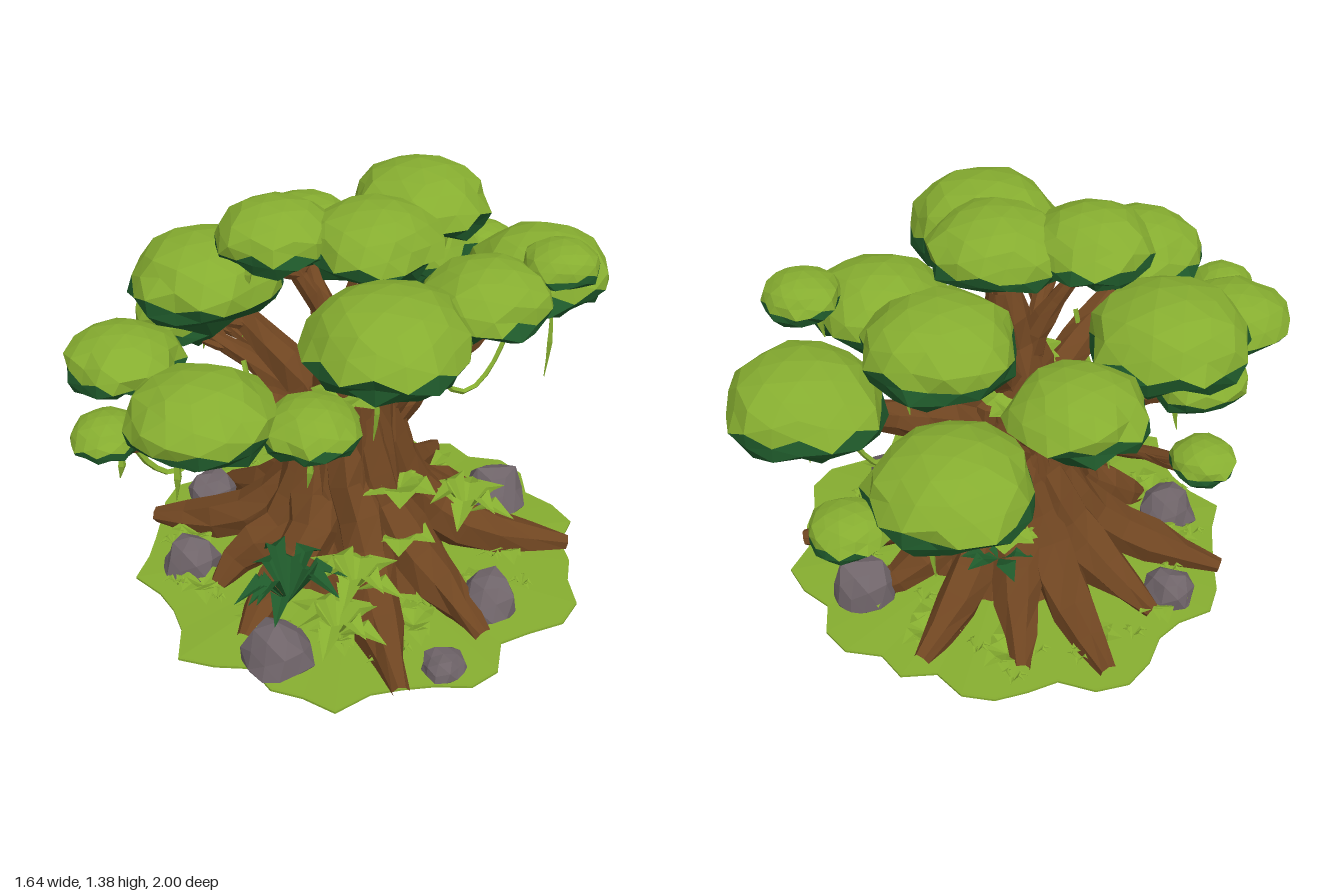
import * as THREE from 'three';
import { mergeGeometries } from 'three/addons/utils/BufferGeometryUtils.js';

const V = (x, y, z) => new THREE.Vector3(x, y, z);
const polar = (a, r, y) => V(Math.cos(a) * r, y, Math.sin(a) * r);
const mat = (name, color, side = THREE.FrontSide) => {
  const m = new THREE.MeshStandardMaterial({ color, side });
  m.name = name;
  return m;
};

// repeatable value in 0..1 from a position
const noise = (x, y, z) => {
  const s = Math.sin(x * 12.9 + y * 78.2 + z * 37.7) * 437.58;
  return s - Math.floor(s);
};

// separate the faces so every facet is flat
function facet(geo) {
  const g = geo.index ? geo.toNonIndexed() : geo;
  g.deleteAttribute('uv');
  g.computeVertexNormals();
  return g;
}

function warp(geo, rule) {
  const p = geo.attributes.position, v = V(0, 0, 0);
  for (let i = 0; i < p.count; i++) {
    rule(v.fromBufferAttribute(p, i), i);
    p.setXYZ(i, v.x, v.y, v.z);
  }
  return geo;
}

// tube that follows a path and narrows along a list of radii, with knobbly sides
function taperedTube(points, radii, sides, segs) {
  const curve = new THREE.CatmullRomCurve3(points);
  const geo = new THREE.TubeGeometry(curve, segs, 1, sides);
  warp(geo, (v, i) => {
    const ring = Math.floor(i / (sides + 1)), side = (i % (sides + 1)) % sides;
    const c = curve.getPointAt(ring / segs);
    const f = (ring / segs) * (radii.length - 1), k = Math.min(Math.floor(f), radii.length - 2);
    const r = THREE.MathUtils.lerp(radii[k], radii[k + 1], f - k);
    v.sub(c).multiplyScalar(r * (0.83 + 0.35 * noise(side, ring * 0.13, points[0].x))).add(c);
    v.y = Math.max(v.y, 0.008);
  });
  return facet(geo);
}

// squashed foliage dome: first group is the top, second the underside
function foliageGeometry(r, seed) {
  const geo = warp(new THREE.IcosahedronGeometry(1, 2), (v) => {
    const n = noise(v.x + seed, v.y, v.z) - 0.5;
    const spread = r * (1 + 0.17 * n);
    v.set(v.x * spread, v.y * r * (v.y > 0 ? 0.66 : 0.4 + 0.4 * n), v.z * spread);
  });
  const p = geo.attributes.position, top = [], under = [];
  for (let i = 0; i < p.count; i += 3) {
    const y = (p.getY(i) + p.getY(i + 1) + p.getY(i + 2)) / 3;
    const list = y > 0.06 * r ? top : under;
    for (let k = i; k < i + 3; k++) list.push(p.getX(k), p.getY(k), p.getZ(k));
  }
  const out = new THREE.BufferGeometry();
  out.setAttribute('position', new THREE.Float32BufferAttribute(top.concat(under), 3));
  out.addGroup(0, top.length / 3, 0);
  out.addGroup(top.length / 3, under.length / 3, 1);
  out.computeVertexNormals();
  return out;
}

// ring of arching pointed blades
function bladeFan(count, length, width, rise) {
  const pos = [];
  for (let i = 0; i < count; i++) {
    const a = (i / count) * Math.PI * 2 + noise(i, count, length), l = length * (0.75 + 0.5 * noise(i, 2, width));
    const up = rise * (0.7 + 0.5 * noise(i, 3, rise));
    const at = (d, y, s) => [Math.cos(a) * d - Math.sin(a) * s, y, Math.sin(a) * d + Math.cos(a) * s];
    const base = at(0, 0, 0), L = at(l / 2, up, width / 2), R = at(l / 2, up, -width / 2);
    const M = at(l / 2, up * 0.85, 0), tip = at(l, up * 0.5, 0);
    pos.push(...base, ...L, ...M, ...base, ...M, ...R, ...L, ...tip, ...M, ...M, ...tip, ...R);
  }
  const g = new THREE.BufferGeometry();
  g.setAttribute('position', new THREE.Float32BufferAttribute(pos, 3));
  g.computeVertexNormals();
  return g;
}

export function createModel() {
  const tree = new THREE.Group();
  const bark = mat('bark brown', 0x6f4521);
  const leaf = mat('leaf green', 0x86ad30);
  const shade = mat('deep green', 0x1f5a2b);
  const stone = mat('stone grey', 0x6f6469);
  const blade = mat('blade green', 0x86ad30, THREE.DoubleSide);
  const darkBlade = mat('dark blade green', 0x1f5a2b, THREE.DoubleSide);
  const add = (name, geo, material, x = 0, y = 0, z = 0) => {
    const m = new THREE.Mesh(geo, material);
    m.name = name;
    m.position.set(x, y, z);
    tree.add(m);
    return m;
  };

  // ragged grass base with a slight dome
  const ragged = (v) => {
    const n = Math.round((Math.atan2(v.z, v.x) / (Math.PI * 2) + 1) * 44) % 44;
    const k = 0.755 + 0.08 * (noise(n, 1, 3) - 0.5) + 0.03 * Math.sin(n * 1.43);
    v.x = v.x * k + 0.025;
    v.z *= k;
  };
  const slab = new THREE.CylinderGeometry(1, 1, 0.008, 44).translate(0, 0.004, 0);
  const dome = new THREE.ConeGeometry(1, 0.045, 44, 3, true).translate(0, 0.03, 0);
  add('grassBase', facet(warp(slab, ragged)), leaf);
  add('grassMound', facet(warp(dome, ragged)), leaf);

  // fluted trunk, flaring towards the ground, and the leader rising from it
  const profile = [];
  for (let y = 0; y < 0.75; y += 0.1) profile.push(new THREE.Vector2(0.15 + 0.2 * (1 - y / 0.75) ** 2, y));
  profile.push(new THREE.Vector2(0, 0.78));
  add('trunk', facet(warp(new THREE.LatheGeometry(profile, 28), (v) => {
    const k = 1 + 0.08 * Math.cos(9 * Math.atan2(v.z, v.x) + v.y * 4) + 0.1 * (noise(v.x, v.y, v.z) - 0.5);
    v.x *= k;
    v.z *= k;
  })), bark);
  add('leader', taperedTube([V(0, 0.4, 0.02), V(0, 0.7, 0.02), V(0.02, 0.9, 0), V(0.04, 1.1, -0.03)],
    [0.15, 0.14, 0.1, 0.05], 9, 7), bark);

  // buttress roots: degrees from +x towards +z, reach
  [[27, 0.78], [75, 0.62], [103, 0.52], [135, 0.74], [165, 0.6], [193, 0.72], [215, 0.64], [243, 0.68],
    [275, 0.58], [307, 0.77], [352, 0.66]].forEach(([deg, reach], i) => {
    const a = THREE.MathUtils.degToRad(deg), bend = a + 0.16 * (noise(i, 4, 1) - 0.5);
    const path = [polar(a + 0.5, 0.09, 0.66), polar(a + 0.25, 0.135, 0.42), polar(bend, 0.25, 0.22),
      polar(a, 0.43, 0.095), polar(bend, reach, 0.025)];
    add('root', taperedTube(path, [0.06, 0.085, 0.09, 0.078, 0.03], 7, 8), bark);
  });

  // foliage clumps (x, top, z, radius), on limbs from the trunk or, for the highest, from the leader
  const clumps = [
    [0.06, 1.375, -0.04, 0.22], [-0.13, 1.38, 0.2, 0.2], [-0.2, 1.32, -0.43, 0.235], [0.4, 1.27, 0.16, 0.26],
    [0.28, 1.17, -0.34, 0.22], [-0.41, 1.18, 0.3, 0.26], [-0.53, 1.14, -0.17, 0.21], [-0.46, 1.04, -0.58, 0.25],
    [0.09, 1.09, -0.74, 0.25], [0.35, 1.2, -0.58, 0.13], [-0.38, 0.9, -0.88, 0.12], [0.17, 1.06, 0.68, 0.23],
    [-0.31, 1, 0.68, 0.19], [-0.06, 0.88, 0.88, 0.115], [-0.72, 0.845, 0.18, 0.105], [-0.48, 0.98, 0.36, 0.17],
    [0.37, 0.98, 0.42, 0.15],
  ];
  clumps.forEach(([x, top, z, r], i) => {
    const high = top > 1.19, yMid = top - 0.66 * r, yEnd = yMid - 0.1 * r, thick = (high ? 0.3 : 0.42) * r;
    const along = (out, up) => V(x * out, THREE.MathUtils.lerp(high ? 0.74 : 0.46, yEnd, up), z * out);
    const path = [along(0.06, 0), along(0.3, 0.42), along(0.62, 0.7), along(1, 1)];
    add('limb', taperedTube(path, [thick, thick * 0.75, thick * 0.5, 0.018], 7, 8), bark);
    for (let k = 0; k < 3; k++) {
      const fork = path[2].clone().lerp(path[3], 0.25);
      const end = polar(i + k * 2.1, r * 0.6, 0).add(path[3]);
      const mid = fork.clone().lerp(end, 0.5).add(V(0, -0.015, 0));
      add('twig', taperedTube([fork, mid, end], [0.02, 0.014, 0.006], 5, 3), bark);
    }
    add('foliage', foliageGeometry(r, i * 0.37), [leaf, shade], x, yMid, z).rotation.y = i * 1.3;

    // thin strand hanging below the clump
    const hook = polar(i * 2.4, r * 0.5, yMid - 0.2 * r).add(V(x, 0, z)), len = r * (0.5 + 0.8 * noise(i, 3, 2));
    const strand = [0, 0.5, 1].map((t) => hook.clone().add(V(0.012 * Math.sin(t * 3), -len * t, 0.01 * t)));
    add('hangingVine', taperedTube(strand, [0.006, 0.012, 0.002], 4, 4), leaf);
  });

  // looping vines: two ends and the sag between them
  [[V(-0.2, 0.8, 0.3), V(0.12, 0.82, 0.35), 0.2], [V(-0.16, 0.78, 0.5), V(0.1, 0.78, 0.55), 0.16],
    [V(0, 0.74, 0.55), V(-0.06, 0.79, 0.82), 0.16], [V(0.05, 0.7, -0.3), V(0.1, 0.78, -0.62), 0.2],
  ].forEach(([a, b, sag]) => {
    const path = [0, 0.25, 0.5, 0.75, 1].map((t) => a.clone().lerp(b, t).add(V(0, -4 * sag * t * (1 - t), 0)));
    add('loopedVine', taperedTube(path, [0.009, 0.011, 0.009], 4, 10), leaf);
  });

  // rocks: x, z, radius, height
  [[0.33, 0.54, 0.12, 0.15], [-0.23, 0.53, 0.1, 0.14], [0.69, 0.14, 0.075, 0.08], [0.54, -0.18, 0.1, 0.15],
    [0.1, -0.59, 0.11, 0.18], [-0.55, 0.25, 0.09, 0.12]].forEach(([x, z, r, h], i) => {
    const geo = warp(new THREE.IcosahedronGeometry(1, 1), (v) => {
      const k = 1 + 0.25 * (noise(v.x + i, v.y, v.z) - 0.5);
      v.set(v.x * r * k, Math.max(v.y, -0.1) * (h - 0.02) * k, v.z * r * k);
    });
    add('rock', facet(geo), stone, x, 0.02, z);
  });

  // ferns around the roots, ivy on the bark and broad leaves on the ground
  add('darkFern', bladeFan(12, 0.16, 0.07, 0.17), darkBlade, 0.28, 0.17, 0.46);
  add('darkFern', bladeFan(6, 0.12, 0.07, 0.05), darkBlade, -0.22, 0.22, -0.24);
  [[0.44, 0.1, 0.38], [0.36, 0.17, 0.25], [0.29, 0.21, -0.28]].forEach((p) =>
    add('fern', bladeFan(9, 0.16, 0.08, 0.11), blade, ...p));
  [[0.27, 0.23, 0], [0.22, 0.38, -0.04], [-0.2, 0.28, -0.2], [0.1, 0.72, 0.12], [-0.12, 0.72, -0.1]].forEach((p) =>
    add('ivy', bladeFan(7, 0.12, 0.11, 0.04), blade, ...p));
  for (let i = 0; i < 12; i++) {
    const at = polar(i * 0.52 + 0.2, 0.48 + 0.12 * noise(i, 2, 7), 0.025);
    add('groundLeaves', bladeFan(7, 0.1, 0.07, 0.035), blade, at.x, at.y, at.z);
  }

  // grass tufts scattered between the roots
  const tufts = [];
  for (let i = 0; i < 34; i++) {
    const at = polar(i * 2.4, 0.42 + 0.28 * noise(i, 5, 2), 0.018);
    tufts.push(bladeFan(5, 0.045, 0.018, 0.03 + 0.02 * noise(i, 1, 1)).translate(at.x, at.y, at.z));
  }
  add('grassTufts', mergeGeometries(tufts), blade);
  return tree;
}
